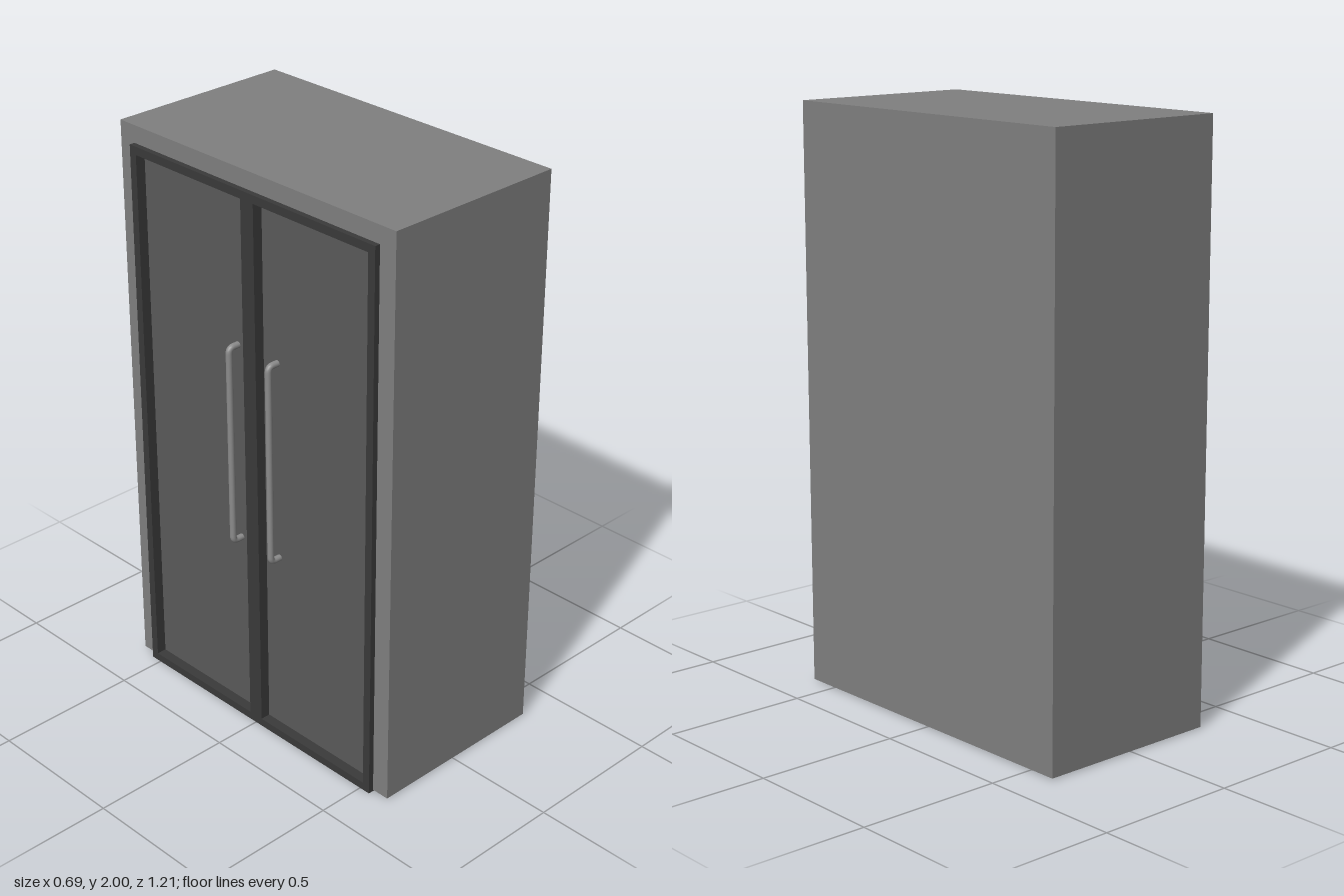
import * as THREE from 'three';

const mat = (name, color) => Object.assign(new THREE.MeshStandardMaterial({ color }), { name });

export function createModel() {
  const group = new THREE.Group();
  const grey = mat('cabinetGrey', 0x808080);
  const dark = mat('frameDark', 0x3a3a3a);
  const pane = mat('paneGrey', 0x5a5a5a);
  const steel = mat('handleSteel', 0x8c8c8c);

  const add = (name, geometry, material) => {
    const mesh = new THREE.Mesh(geometry, material);
    mesh.name = name;
    group.add(mesh);
    return mesh;
  };
  const box = (name, x0, x1, y0, y1, z0, z1, material) =>
    add(name, new THREE.BoxGeometry(x1 - x0, y1 - y0, z1 - z0), material)
      .position.set((x0 + x1) / 2, (y0 + y1) / 2, (z0 + z1) / 2);

  // Rectangle outline in the door plane (z, y)
  const rect = (Type, z0, z1, y0, y1) => {
    const r = new Type();
    r.moveTo(z0, y0).lineTo(z1, y0).lineTo(z1, y1).lineTo(z0, y1).closePath();
    return r;
  };
  // Frame with rectangular openings, extruded from x = inner out to x = outer
  const frame = (name, outline, holes, inner, outer, material) => {
    const shape = rect(THREE.Shape, ...outline);
    shape.holes = holes.map(h => rect(THREE.Path, ...h));
    const geo = new THREE.ExtrudeGeometry(shape, { depth: inner - outer, bevelEnabled: false });
    geo.rotateY(-Math.PI / 2).translate(inner, 0, 0);
    add(name, geo, material);
  };

  const back = 0.347, face = -0.314, paneX = -0.298, doorX = -0.333;
  const W = 0.605, D = 0.541, top = 1.94;

  // Cabinet with a surround that leaves room for the sunken doors
  box('cabinetBody', paneX + 0.002, back, 0.005, 2, -W, W, grey);
  frame('cabinetSurround', [-W, W, 0.005, 2], [[-D, D, 0.006, top]], paneX + 0.002, face, grey);

  // Double door frame and its two recessed panes
  const leaves = [[-D + 0.028, -0.028], [0.028, D - 0.028]];
  frame('doorFrame', [-D, D, 0, top], leaves.map(([a, b]) => [a, b, 0.028, top - 0.028]),
    paneX + 0.002, doorX, dark);
  for (const [a, b] of leaves) box('doorPane', paneX, paneX + 0.003, 0.028, top - 0.028, a, b, pane);

  // Bent tube handles
  const gripX = -0.337, r = 0.011, low = 0.685, high = 1.39, bend = 0.018;
  const v = (x, y) => new THREE.Vector3(x, y, 0);
  for (const side of [-1, 1]) {
    const path = new THREE.CurvePath();
    path.add(new THREE.LineCurve3(v(paneX, low), v(gripX + bend, low)));
    path.add(new THREE.QuadraticBezierCurve3(v(gripX + bend, low), v(gripX, low), v(gripX, low + bend)));
    path.add(new THREE.LineCurve3(v(gripX, low + bend), v(gripX, high - bend)));
    path.add(new THREE.QuadraticBezierCurve3(v(gripX, high - bend), v(gripX, high), v(gripX + bend, high)));
    path.add(new THREE.LineCurve3(v(gripX + bend, high), v(paneX, high)));
    add('doorHandle', new THREE.TubeGeometry(path, 160, r, 12), steel).position.z = side * 0.09;
  }
  return group;
}
